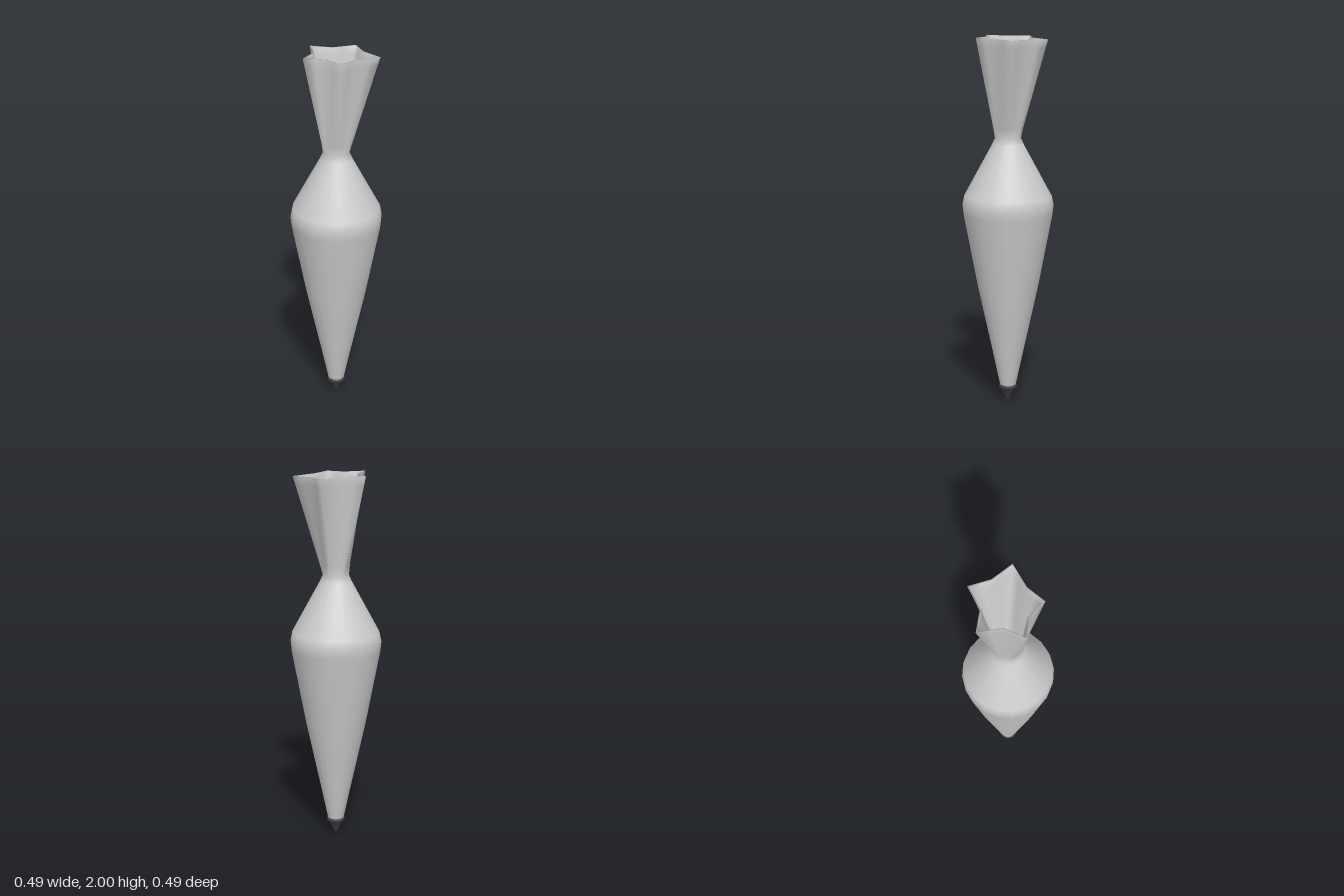
import * as THREE from 'three';

const SIDES = 20;
const PHASE = THREE.MathUtils.degToRad(35);

// Star corners of the open mouth as [x, z], alternating tip and fold
const STAR = [
  [0.2, 0.103], [0.06, 0.12], [-0.043, 0.172], [-0.09, 0.068], [-0.19, 0.02],
  [-0.1, -0.065], [-0.07, -0.19], [0.035, -0.128], [0.17, -0.14], [0.161, -0.02],
];

function circleRing(r, y) {
  return Array.from({ length: SIDES }, (_, i) => {
    const a = PHASE + (i / SIDES) * Math.PI * 2;
    return new THREE.Vector3(r * Math.cos(a), y, r * Math.sin(a));
  });
}

// Corners plus edge midpoints; the mouth dips slightly towards +x
function starRing(scale, drop) {
  return Array.from({ length: SIDES }, (_, i) => {
    const a = STAR[Math.floor(i / 2)];
    const b = STAR[Math.ceil(i / 2) % STAR.length];
    const x = (a[0] + b[0]) / 2, z = (a[1] + b[1]) / 2;
    return new THREE.Vector3(x * scale, 1.992 - 0.04 * x - drop, z * scale);
  });
}

const blend = (a, b, t) => a.map((p, i) => p.clone().lerp(b[i], t));

// Skin a stack of closed rings, ordered so the faces point outwards going up
function loft(rings) {
  const pos = rings.flat().flatMap((p) => [p.x, p.y, p.z]);
  const index = [];
  for (let r = 0; r < rings.length - 1; r++) {
    for (let i = 0; i < SIDES; i++) {
      const j = (i + 1) % SIDES;
      const a = r * SIDES + i, b = r * SIDES + j;
      index.push(a, a + SIDES, b, b, a + SIDES, b + SIDES);
    }
  }
  const geo = new THREE.BufferGeometry();
  geo.setAttribute('position', new THREE.Float32BufferAttribute(pos, 3));
  geo.setIndex(index);
  geo.computeVertexNormals();
  return geo;
}

export function createModel() {
  const group = new THREE.Group();
  const bagMat = new THREE.MeshStandardMaterial({ color: 0xcccccc });
  bagMat.name = 'bag light grey';
  const tipMat = new THREE.MeshStandardMaterial({ color: 0x444444 });
  tipMat.name = 'nozzle dark grey';

  const add = (name, geo, mat) => {
    const mesh = new THREE.Mesh(geo, mat);
    mesh.name = name;
    group.add(mesh);
    return mesh;
  };

  // Tapered bag, pinched neck and flared star mouth folding inwards
  const body = [
    [0.042, 0.08], [0.078, 0.25], [0.165, 0.65], [0.241, 1.05],
    [0.246, 1.1], [0.236, 1.15], [0.085, 1.427], [0.07, 1.462],
  ].map(([r, y]) => circleRing(r, y));
  const neck = body[body.length - 1];
  const rim = starRing(1, 0);
  const lip = starRing(0.95, 0);
  const innerNeck = circleRing(0.063, 1.462);
  add('bag', loft([
    ...body, blend(neck, rim, 0.1), blend(neck, rim, 0.92), rim,
    lip, blend(innerNeck, lip, 0.92), innerNeck,
  ]), bagMat);

  // Closed floor of the mouth
  const floor = add('neckFloor', new THREE.CircleGeometry(0.066, SIDES), bagMat);
  floor.rotation.x = -Math.PI / 2;
  floor.position.y = 1.465;

  // Pointed nozzle with a raised collar
  const profile = [
    [0, 0], [0.008, 0.004], [0.014, 0.02], [0.037, 0.066], [0.047, 0.072],
    [0.05, 0.08], [0.047, 0.09], [0.038, 0.094],
  ].map(([r, y]) => new THREE.Vector2(r, y));
  add('nozzle', new THREE.LatheGeometry(profile, SIDES), tipMat);

  return group;
}
